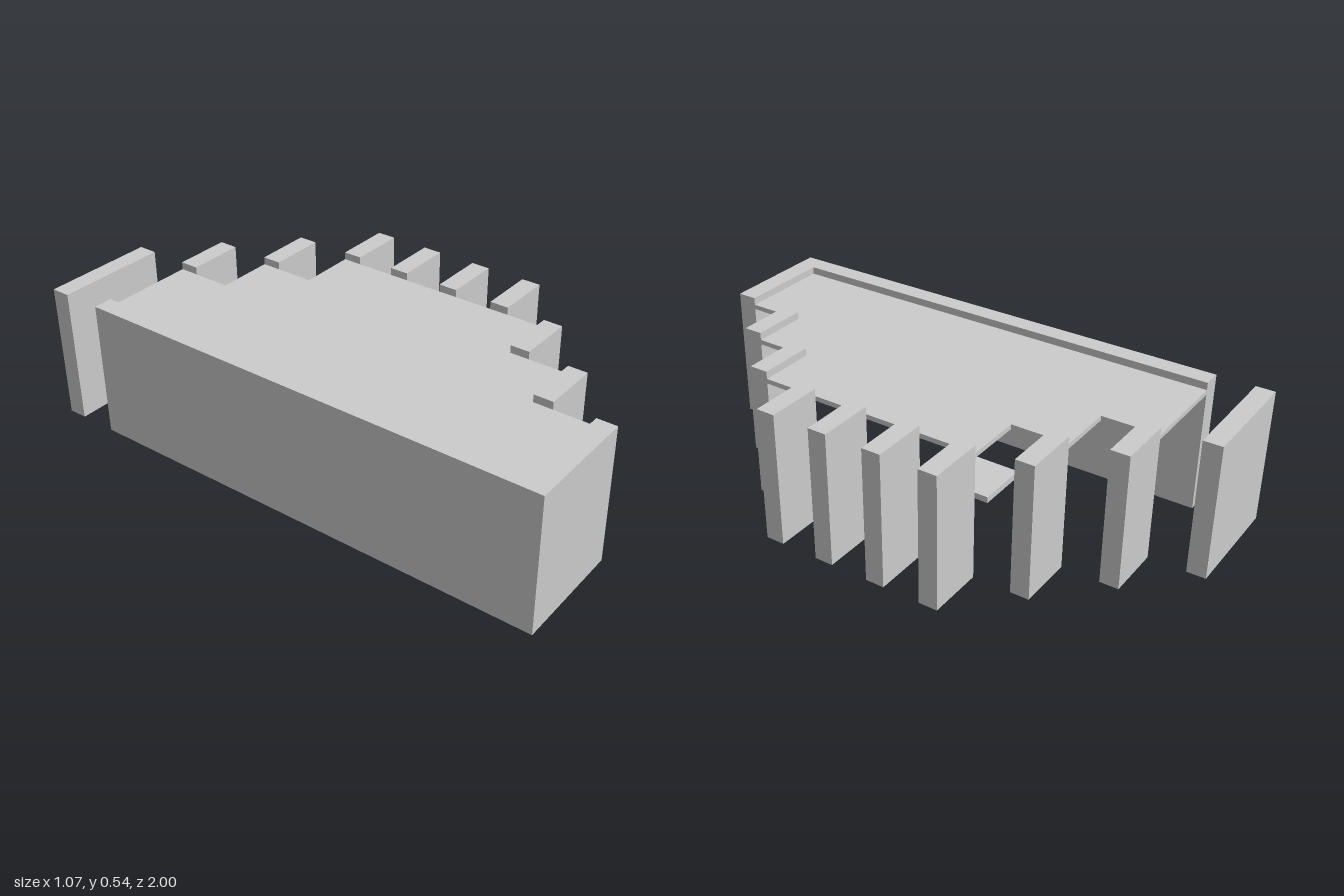
import * as THREE from 'three';

export function createModel() {
  const group = new THREE.Group();
  const material = new THREE.MeshStandardMaterial({ color: 0xcccccc, flatShading: true });
  const T = 0.071; // wall thickness
  const BOTTOM = 0.025, TOP = 0.537;

  const addBox = (name, x0, x1, y0, y1, z0, z1) => {
    const mesh = new THREE.Mesh(new THREE.BoxGeometry(x1 - x0, y1 - y0, z1 - z0), material);
    mesh.position.set((x0 + x1) / 2, (y0 + y1) / 2, (z0 + z1) / 2);
    mesh.name = name;
    group.add(mesh);
  };
  const addWall = (name, x0, x1, z0, z1) => addBox(name, x0, x1, BOTTOM, TOP, z0, z1);

  // long wall and the two end walls
  addWall('longWall', -0.535, -0.464, -0.787, 1);
  addWall('frontEndWall', -0.464, -0.108, 1 - 0.073, 1);
  addWall('rearEndWall', -0.535, -0.108, -1, -1 + T);

  // upright fins stepping out along the open side: [inner x, rear z]
  const fins = [
    [-0.108, -0.787], [0.105, -0.573], [0.318, -0.359], [0.318, -0.146],
    [0.318, 0.068], [0.318, 0.282], [0.105, 0.496], [-0.108, 0.71],
  ];
  fins.forEach(([x, z], i) => addWall(`fin${i + 1}`, x, x + 0.213, z, z + T));

  // stepped roof slab, outlined in plan as (x, z)
  const outline = [
    [-0.464, -0.787], [-0.108, -0.787], [-0.108, -0.573], [0.105, -0.573],
    [0.105, -0.359], [0.318, -0.359], [0.318, 0.496], [0.105, 0.496],
    [0.105, 0.71], [-0.108, 0.71], [-0.108, 0.927], [-0.464, 0.927],
  ];
  const shape = new THREE.Shape(outline.map(([x, z]) => new THREE.Vector2(x, -z)));
  const slab = new THREE.ExtrudeGeometry(shape, { depth: 0.018, bevelEnabled: false });
  slab.rotateX(-Math.PI / 2);
  const roof = new THREE.Mesh(slab, material);
  roof.position.y = 0.491;
  roof.name = 'roofSlab';
  group.add(roof);

  // small square plate at ground level
  addBox('groundPlate', -0.321, -0.108, 0, 0.025, -0.144, 0.069);

  return group;
}
